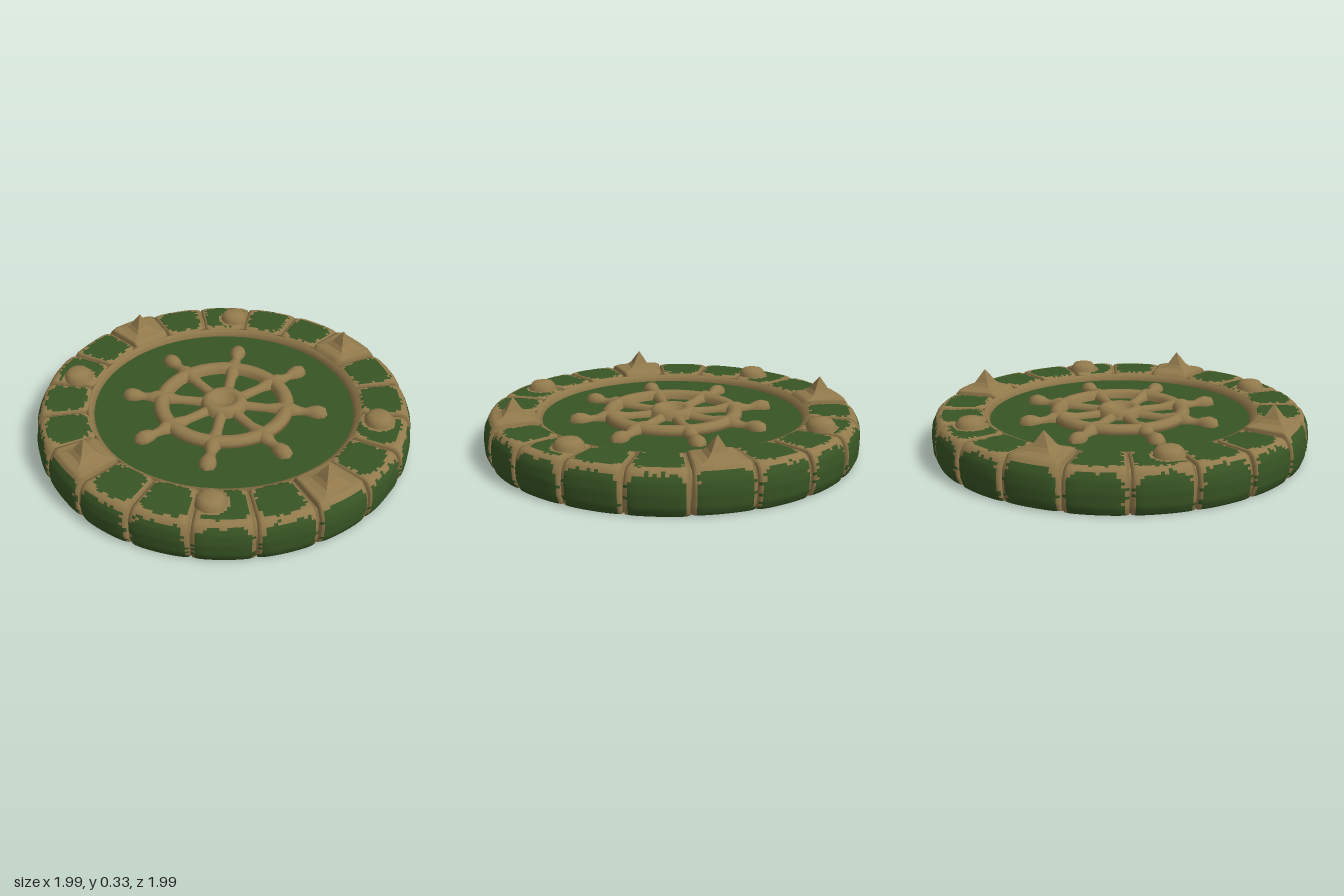
import * as THREE from 'three';

const moss = new THREE.MeshStandardMaterial({ color: 0x385524 });
moss.name = 'mossGreen';
const stone = new THREE.MeshStandardMaterial({ color: 0x927a4c });
stone.name = 'sandStone';

const BLOCKS = 20;
const FLOOR = 0.175;
const KNOBS = [[0.63, 0.53], [0.63, -0.53], [-0.63, 0.53], [-0.63, -0.53]];

// seeded random numbers for worn edges
function seeded(seed) {
  let s = seed;
  return () => {
    s = (s * 16807) % 2147483647;
    return s / 2147483647;
  };
}

function lathe(name, profile, segments, material) {
  const points = profile.map(([r, y]) => new THREE.Vector2(r, y));
  const mesh = new THREE.Mesh(new THREE.LatheGeometry(points, segments), material);
  mesh.name = name;
  return mesh;
}

// evenly spaced points round a closed outline
function resample(outline, count) {
  const path = new THREE.Path(outline.map(([r, y]) => new THREE.Vector2(r, y)));
  path.closePath();
  return path.getSpacedPoints(count).slice(0, count);
}

// which cells of a block are overgrown with moss
function isMossy(r, y, u, a, spiked, wear) {
  const panel = (uu, v) => uu ** 4 + v ** 4 < 1 + wear;
  if (y < 0.004) return panel(u / 0.78, (r - 0.87) / 0.115);
  if (y > 0.207 && r < 0.965) {
    const x = r * Math.sin(a), z = r * Math.cos(a);
    const nearKnob = KNOBS.some(([kx, kz]) => Math.hypot(x - kx, z - kz) < 0.09);
    return !spiked && !nearKnob && panel(u / 0.87, (r - 0.835) / 0.105);
  }
  if (r > 0.94) return panel(u / 0.9, Math.max(0, y - 0.08) / (spiked ? 0.14 : 0.118));
  return false;
}

// one wedge of the outer ring, swept from a rounded cross-section
function ringBlock(index) {
  const N = 68, M = 16;
  const spiked = index % 5 === 0;
  const rand = seeded(index * 977 + 31);
  const top = (spiked ? 0.235 : 0.221) + (rand() - 0.5) * 0.004;
  const bulge = (rand() - 0.5) * 0.012;
  const slant = (rand() - 0.5) * 0.012;
  const profile = resample([
    [0.71, 0], [0.975, 0], [0.992, 0.04], [0.996, 0.11], [0.988, 0.165],
    [0.968, 0.205], [0.945, top], [0.74, top], [0.712, 0.205],
  ], N);
  const mid = (index / BLOCKS) * Math.PI * 2;
  const half = Math.PI / BLOCKS - 0.005;
  const positions = [], green = [], tan = [];
  for (let j = 0; j <= M; j++) {
    const u = (j / M) * 2 - 1;
    const a = mid + u * half;
    const shrink = 1 - 0.07 * Math.abs(u) ** 8;
    for (const p of profile) {
      let r = 0.85 + (p.x - 0.85) * shrink;
      if (p.x > 0.95) r += (bulge * (1 - u * u) + slant * u) * 0.6 * Math.min(1, p.y / 0.05);
      r = Math.min(r, 1);
      const y = p.y < 0.01 ? p.y : 0.1 + (p.y - 0.1) * shrink;
      positions.push(r * Math.sin(a), y, r * Math.cos(a));
    }
  }
  for (let j = 0; j < M; j++) {
    const u = ((j + 0.5) / M) * 2 - 1;
    for (let i = 0; i < N; i++) {
      const k = (i + 1) % N;
      const r = (profile[i].x + profile[k].x) / 2, y = (profile[i].y + profile[k].y) / 2;
      const list = isMossy(r, y, u, mid + u * half, spiked, (rand() - 0.5) * 0.7) ? green : tan;
      const A = j * N + i, B = A + N, C = (j + 1) * N + k, D = j * N + k;
      list.push(A, B, C, A, C, D);
    }
  }
  // end caps
  for (const j of [0, M]) {
    const a = mid + (j ? half : -half);
    const c = positions.length / 3;
    positions.push(0.85 * Math.sin(a), 0.11, 0.85 * Math.cos(a));
    for (let i = 0; i < N; i++) {
      const p = j * N + i, q = j * N + (i + 1) % N;
      tan.push(c, ...(j ? [q, p] : [p, q]));
    }
  }
  const geometry = new THREE.BufferGeometry();
  geometry.setAttribute('position', new THREE.Float32BufferAttribute(positions, 3));
  geometry.setIndex([...green, ...tan]);
  geometry.addGroup(0, green.length, 0);
  geometry.addGroup(green.length, tan.length, 1);
  geometry.computeVertexNormals();
  const mesh = new THREE.Mesh(geometry, [moss, stone]);
  mesh.name = spiked ? 'spikeBlock' : 'ringBlock';
  return mesh;
}

// four-sided stone spike with a flared foot
function spike(angle) {
  const mesh = lathe('spike', [[0.15, 0.228], [0.085, 0.242], [0.058, 0.262], [0.03, 0.297], [0, 0.332]], 4, stone);
  mesh.geometry = mesh.geometry.toNonIndexed();
  mesh.geometry.computeVertexNormals();
  mesh.position.set(0.84 * Math.sin(angle), 0, 0.84 * Math.cos(angle));
  mesh.rotation.y = angle + Math.PI / 4;
  return mesh;
}

// ship's wheel carved in relief on the floor
function helm() {
  const group = new THREE.Group();
  group.name = 'helmWheel';
  group.add(lathe('wheelRim', [
    [0.29, FLOOR - 0.01], [0.375, FLOOR - 0.01], [0.372, 0.198], [0.355, 0.214],
    [0.335, 0.218], [0.313, 0.214], [0.296, 0.198], [0.29, FLOOR - 0.01],
  ], 48, stone));
  group.add(lathe('hub', [
    [0.128, FLOOR - 0.01], [0.122, 0.2], [0.105, 0.219], [0.085, 0.224],
    [0.063, 0.217], [0.05, 0.195], [0, 0.19],
  ], 24, stone));
  const spokeProfile = [
    [0.034, 0.09], [0.03, 0.15], [0.029, 0.24], [0.042, 0.3], [0.045, 0.37],
    [0.03, 0.405], [0.026, 0.44], [0.04, 0.47], [0.046, 0.505], [0.036, 0.54], [0, 0.555],
  ];
  for (let i = 0; i < 8; i++) {
    const spoke = lathe('spokeAndHandle', spokeProfile, 14, stone);
    spoke.geometry.rotateX(Math.PI / 2);
    spoke.position.y = FLOOR;
    spoke.rotation.y = (i * Math.PI) / 4;
    group.add(spoke);
  }
  return group;
}

export function createModel() {
  const model = new THREE.Group();
  model.name = 'stoneDisc';

  // floor slab and its stone lip
  const floor = new THREE.Mesh(new THREE.CylinderGeometry(0.72, 0.72, FLOOR - 0.045, 64), moss);
  floor.name = 'floor';
  floor.position.y = (FLOOR + 0.045) / 2;
  model.add(floor);
  model.add(lathe('floorLip', [
    [0.705, 0.004], [0.73, 0.004], [0.73, 0.208], [0.712, 0.208], [0.69, FLOOR], [0.705, 0.15], [0.705, 0.004],
  ], 64, stone));

  // mortar behind the block joints
  model.add(lathe('mortar', [
    [0.72, 0.006], [0.965, 0.006], [0.97, 0.15], [0.945, 0.2], [0.72, 0.203], [0.72, 0.006],
  ], 80, stone));

  // outer ring, with a spike on every fifth block
  for (let i = 0; i < BLOCKS; i++) {
    model.add(ringBlock(i));
    if (i % 5 === 0) model.add(spike((i / BLOCKS) * Math.PI * 2));
  }

  // rounded studs on the diagonals
  for (const [x, z] of KNOBS) {
    const knob = lathe('stud', [[0.078, 0.205], [0.074, 0.238], [0.055, 0.26], [0.025, 0.267], [0, 0.268]], 12, stone);
    knob.position.set(x, 0, z);
    model.add(knob);
  }

  model.add(helm());
  return model;
}
